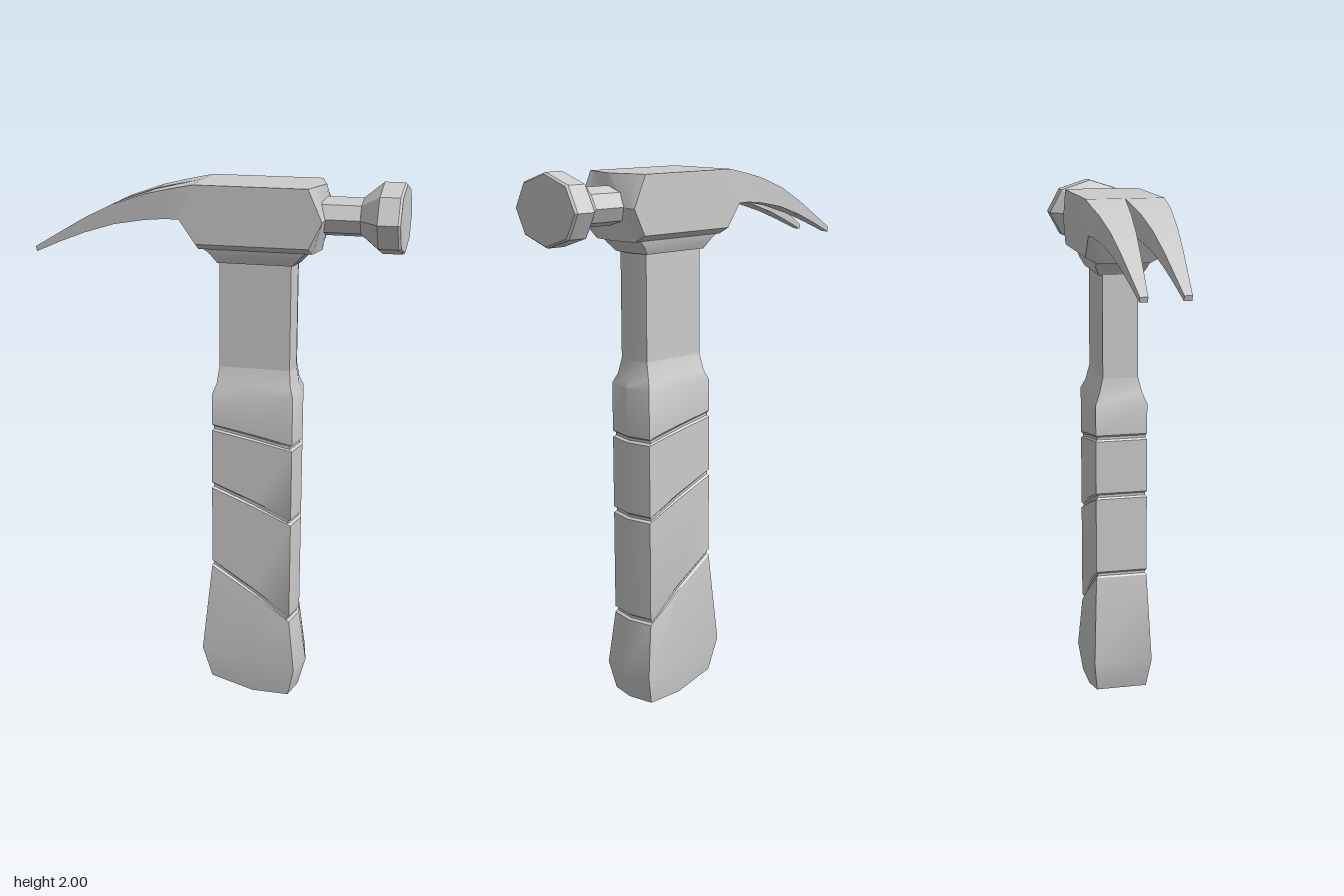
import * as THREE from 'three';
import { toCreasedNormals } from 'three/addons/utils/BufferGeometryUtils.js';

const material = new THREE.MeshStandardMaterial({ color: 0xcccccc });

function part(name, geometry) {
  const mesh = new THREE.Mesh(toCreasedNormals(geometry, 0.52), material);
  mesh.name = name;
  return mesh;
}

// Skin rings of [x, y, z] points; each ring runs counter-clockwise about the direction of travel
function loft(rings) {
  const pos = [];
  const tri = (a, b, c) => pos.push(...a, ...b, ...c);
  const n = rings[0].length;
  const centre = ring => [0, 1, 2].map(k => ring.reduce((s, p) => s + p[k], 0) / n);
  const first = rings[0], last = rings[rings.length - 1];
  const c0 = centre(first), c1 = centre(last);
  for (let j = 0; j < n; j++) {
    const k = (j + 1) % n;
    for (let i = 0; i < rings.length - 1; i++) {
      const [a, b, c, d] = [rings[i][j], rings[i][k], rings[i + 1][k], rings[i + 1][j]];
      tri(a, b, c);
      tri(a, c, d);
    }
    tri(c0, first[k], first[j]);
    tri(c1, last[j], last[k]);
  }
  const g = new THREE.BufferGeometry();
  g.setAttribute('position', new THREE.Float32BufferAttribute(pos, 3));
  return g;
}

// Handle section: a rectangle with a slightly peaked +x side, tilted from yL to yR
function section(yL, yR, xL, xR, hz, bulge = 0.02, yM = (yL + yR) / 2) {
  const xM = (xL + xR) / 2, xE = xR - bulge;
  return [[xR, yR, 0], [xE, yR, -hz], [xM, yM, -hz], [xL, yL, -hz],
    [xL, yL, hz], [xM, yM, hz], [xE, yR, hz]];
}

// Slanted groove cut around the grip
function groove(yL, yR) {
  return [[-0.012, 0], [-0.005, 0.01], [0.005, 0.01], [0.012, 0]].map(([dy, inset]) =>
    section(yL + dy, yR + dy, inset * 0.5, 0.325 - inset, 0.1 - inset * 0.6));
}

export function createModel() {
  const hammer = new THREE.Group();
  hammer.name = 'hammer';

  // Grip with flared butt and three grooves
  hammer.add(part('grip', loft([
    section(0.045, 0, 0, 0.325, 0.1, 0.02, 0),
    section(0.17, 0.11, -0.035, 0.355, 0.115, 0.025),
    ...groove(0.53, 0.325),
    ...groove(0.85, 0.725),
    ...groove(1.08, 1.02),
    section(1.21, 1.215, 0, 0.325, 0.1),
    section(1.25, 1.25, 0.014, 0.308, 0.083, 0.016),
    section(1.31, 1.31, 0.02, 0.297, 0.068, 0.012),
  ])));

  // Neck and collar below the head
  hammer.add(part('neck', loft([1.305, 1.72].map(y => section(y, y, 0.02, 0.297, 0.068, 0.012)))));
  hammer.add(part('collar', loft([
    section(1.7, 1.7, 0.015, 0.305, 0.083, 0.012),
    section(1.73, 1.73, -0.005, 0.335, 0.098, 0.015),
    section(1.765, 1.765, -0.045, 0.37, 0.105, 0.015),
  ])));

  // Head block: outline in x/y, swept across z, with a pointed edge towards the poll
  const headRings = [[-0.145, 1.775, 0], [-0.1, 1.75, 0.012], [0, 1.75, 0.04],
    [0.1, 1.75, 0.012], [0.145, 1.775, 0]].map(([z, low, peak]) => [
    [-0.06, 1.985, z], [-0.11, 1.86, z], [-0.05, low, z],
    [0.36 + peak * 0.6, low, z], [0.407, 1.87, z], [0.355 + peak, 1.985, z]]);
  hammer.add(part('head', loft(headRings)));

  // Claw: two curved tapering prongs; each station is [xTop, yTop, xBottom, yBottom]
  const stations = [[-0.06, 1.985, -0.11, 1.86], [-0.15, 1.966, -0.16, 1.86],
    [-0.24, 1.945, -0.24, 1.852], [-0.37, 1.9, -0.36, 1.83],
    [-0.48, 1.845, -0.48, 1.792], [-0.58, 1.787, -0.58, 1.752], [-0.68, 1.728, -0.675, 1.71]];
  for (const side of [1, -1]) {
    const rings = stations.map(([xt, yt, xb, yb]) => {
      const inner = x => 0.06 * Math.min(1, Math.max(0, (-0.06 - x) / 0.62));
      const outer = x => 0.145 - 0.057 * Math.min(1, Math.max(0, (-0.11 - x) / 0.57));
      const span = x => [side * inner(x), side * outer(x)].sort((a, b) => a - b);
      const [t0, t1] = span(xt), [b0, b1] = span(xb);
      return [[xb, yb, b0], [xb, yb, b1], [xt, yt, t1], [xt, yt, t0]];
    });
    hammer.add(part(side > 0 ? 'frontClaw' : 'backClaw', loft(rings)));
  }

  // Octagonal striking poll, flattened in height
  const profile = [[0, 0.37], [0.09, 0.37], [0.09, 0.53], [0.165, 0.6],
    [0.165, 0.672], [0.157, 0.68], [0, 0.68]].map(p => new THREE.Vector2(...p));
  const poll = new THREE.LatheGeometry(profile, 8);
  poll.rotateZ(-Math.PI / 2).scale(1, 0.77, 1).translate(0, 1.873, 0);
  hammer.add(part('strikingFace', poll));

  return hammer;
}
